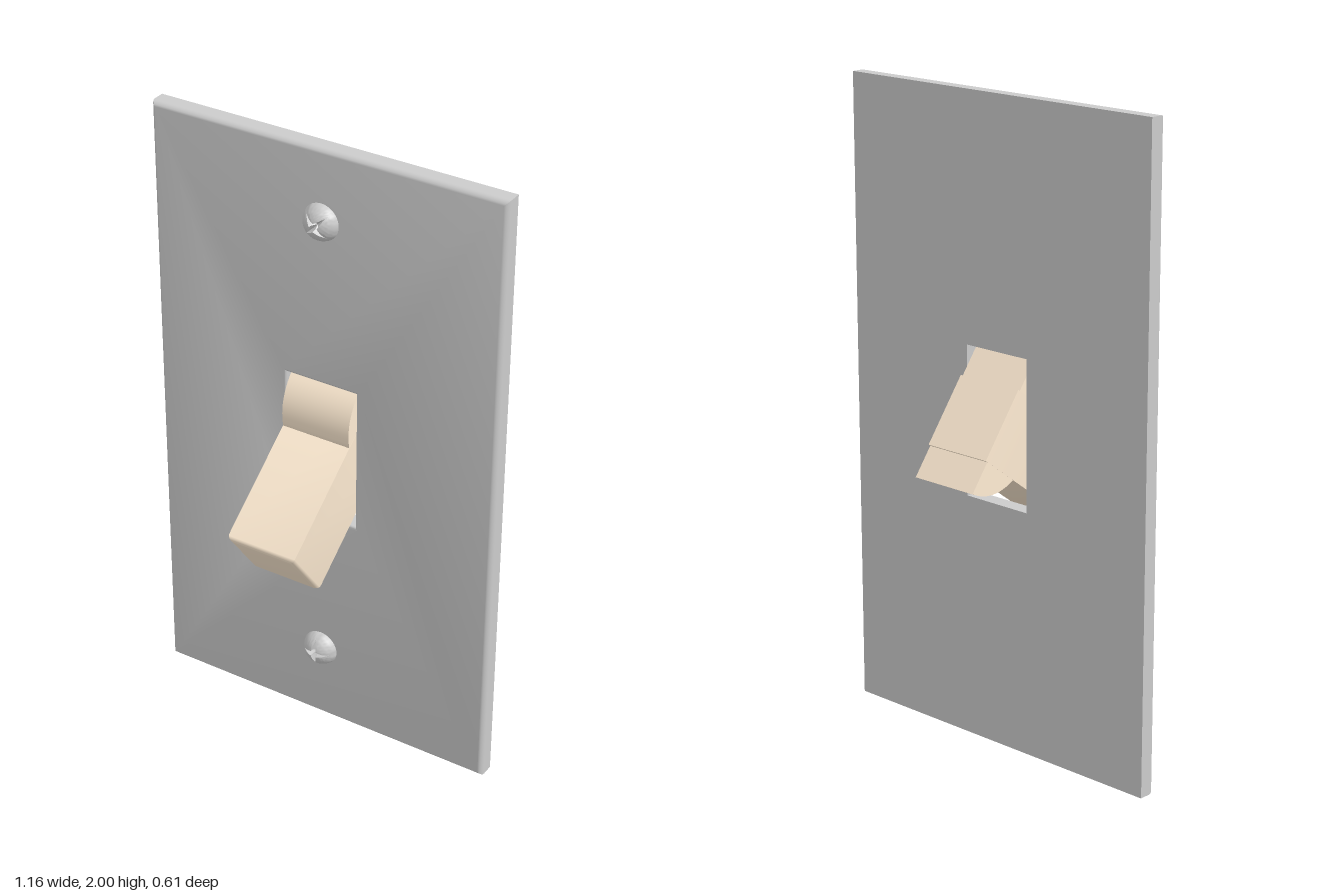
import * as THREE from 'three';
import { toCreasedNormals } from 'three/addons/utils/BufferGeometryUtils.js';

const grey = new THREE.MeshStandardMaterial({ color: 0xcccccc });
const cream = new THREE.MeshStandardMaterial({ color: 0xffecd3 });
const CX = -0.005; // shared centre line of lever and screws

// Skin a series of equal-length loops (counter-clockwise seen from +z).
function loft(loops, closed = false) {
  const pos = [];
  const tri = (a, b, c) => {
    if (new THREE.Triangle(a, b, c).getArea() > 1e-10) {
      for (const p of [a, b, c]) pos.push(p.x, p.y, p.z);
    }
  };
  const rows = closed ? loops.length : loops.length - 1;
  for (let i = 0; i < rows; i++) {
    const lo = loops[i], hi = loops[(i + 1) % loops.length], n = lo.length;
    for (let j = 0; j < n; j++) {
      const k = (j + 1) % n;
      tri(lo[j], lo[k], hi[k]);
      tri(lo[j], hi[k], hi[j]);
    }
  }
  const g = new THREE.BufferGeometry();
  g.setAttribute('position', new THREE.Float32BufferAttribute(pos, 3));
  return toCreasedNormals(g, 0.6);
}

// Rectangular loop with half sizes w, h about (cx, cy) at depth z.
function rect(cx, cy, w, h, z) {
  return [[-1, -1], [1, -1], [1, 1], [-1, 1]].map(
    ([sx, sy]) => new THREE.Vector3(cx + sx * w, cy + sy * h, z));
}

// Rectangular loops rounding over a front edge at depth z with radius r.
function roundOver(cx, cy, w, h, z, r, steps = 5) {
  return Array.from({ length: steps + 1 }, (_, i) => {
    const a = (i / steps) * Math.PI / 2, inset = r * (1 - Math.cos(a));
    return rect(cx, cy, w - inset, h - inset, z - r + r * Math.sin(a));
  });
}

function mesh(name, geometry, material) {
  const m = new THREE.Mesh(geometry, material);
  m.name = name;
  return m;
}

// Wall plate with rounded front rim and a softened opening
function buildPlate() {
  const back = -0.083, front = -0.025, r = 0.01;
  const opening = Array.from({ length: 5 }, (_, i) => {
    const a = (i / 4) * Math.PI / 2, grow = r * (1 - Math.sin(a));
    return rect(CX, 1.006, 0.12 + grow, 0.235 + grow, front - r + r * Math.cos(a));
  });
  return mesh('plate', loft([
    rect(0, 1, 0.582, 1, back),
    ...roundOver(0, 1, 0.582, 1, front, 0.02),
    ...opening,
    rect(CX, 1.006, 0.12, 0.235, back),
  ], true), grey);
}

// Domed screw head with a four-pointed star recess
function buildScrew(y, turn) {
  const R = 0.059, H = 0.046, N = 48;
  const sphere = (R * R + H * H) / (2 * H);
  const dome = (r) => Math.sqrt(sphere * sphere - r * r) - sphere + H;
  const star = (a) => { // straight edges between points and valleys
    const t = Math.abs(((a / (Math.PI / 2)) % 1) - 0.5) * 2; // 1 at a point
    const b = (1 - t) * Math.PI / 4, tip = 0.043, valley = 0.013;
    const vx = valley * Math.SQRT1_2;
    return (tip * vx) / (vx * Math.cos(b) + (tip - vx) * Math.sin(b));
  };
  const loop = (fn) => Array.from({ length: N }, (_, j) => {
    const a = (j / N) * Math.PI * 2, [r, z] = fn(a);
    return new THREE.Vector3(r * Math.cos(a), r * Math.sin(a), z);
  });
  const loops = [loop(() => [R, -0.01])];
  for (let i = 0; i <= 8; i++) {
    loops.push(loop((a) => {
      const r = THREE.MathUtils.lerp(R, star(a), i / 8);
      return [r, dome(r)];
    }));
  }
  loops.push(loop((a) => [star(a) * 0.85, dome(star(a)) - 0.012]));
  loops.push(loop(() => [0, H - 0.03]));
  const screw = mesh('screw', loft(loops), grey);
  screw.position.set(CX, y, -0.026);
  screw.rotation.z = turn;
  return screw;
}

// Toggle lever, built along its own z axis with the tip at the origin
function buildLever() {
  const lever = new THREE.Group();
  lever.name = 'lever';
  const W = 0.116, H = 0.115, back = -0.527;

  // Handle with softened tip
  lever.add(mesh('handle', loft([
    rect(0, 0, 0, 0, back),
    rect(0, 0, W, H, back),
    ...roundOver(0, 0, W, H, 0, 0.018),
    rect(0, 0, 0, 0, 0),
  ]), cream));

  // Flared pivot head, profile in (depth, height)
  const s = new THREE.Shape();
  s.moveTo(-0.519, -0.218);
  s.quadraticCurveTo(-0.424, -0.203, -0.384, -H);
  s.lineTo(-0.384, H);
  s.quadraticCurveTo(-0.424, 0.203, -0.519, 0.218);
  s.closePath();
  const depth = 2 * W - 0.001;
  const g = new THREE.ExtrudeGeometry(s, { depth, bevelEnabled: false, curveSegments: 12 });
  g.translate(0, 0, -depth / 2).rotateY(-Math.PI / 2);
  lever.add(mesh('pivotHead', toCreasedNormals(g, 0.6), cream));

  lever.position.set(CX, 0.748, 0.241);
  lever.rotation.x = 0.64;
  return lever;
}

export function createModel() {
  const model = new THREE.Group();
  model.name = 'lightSwitch';
  model.add(buildPlate(), buildLever(), buildScrew(1.775, Math.PI / 4), buildScrew(0.265, 0));
  return model;
}
